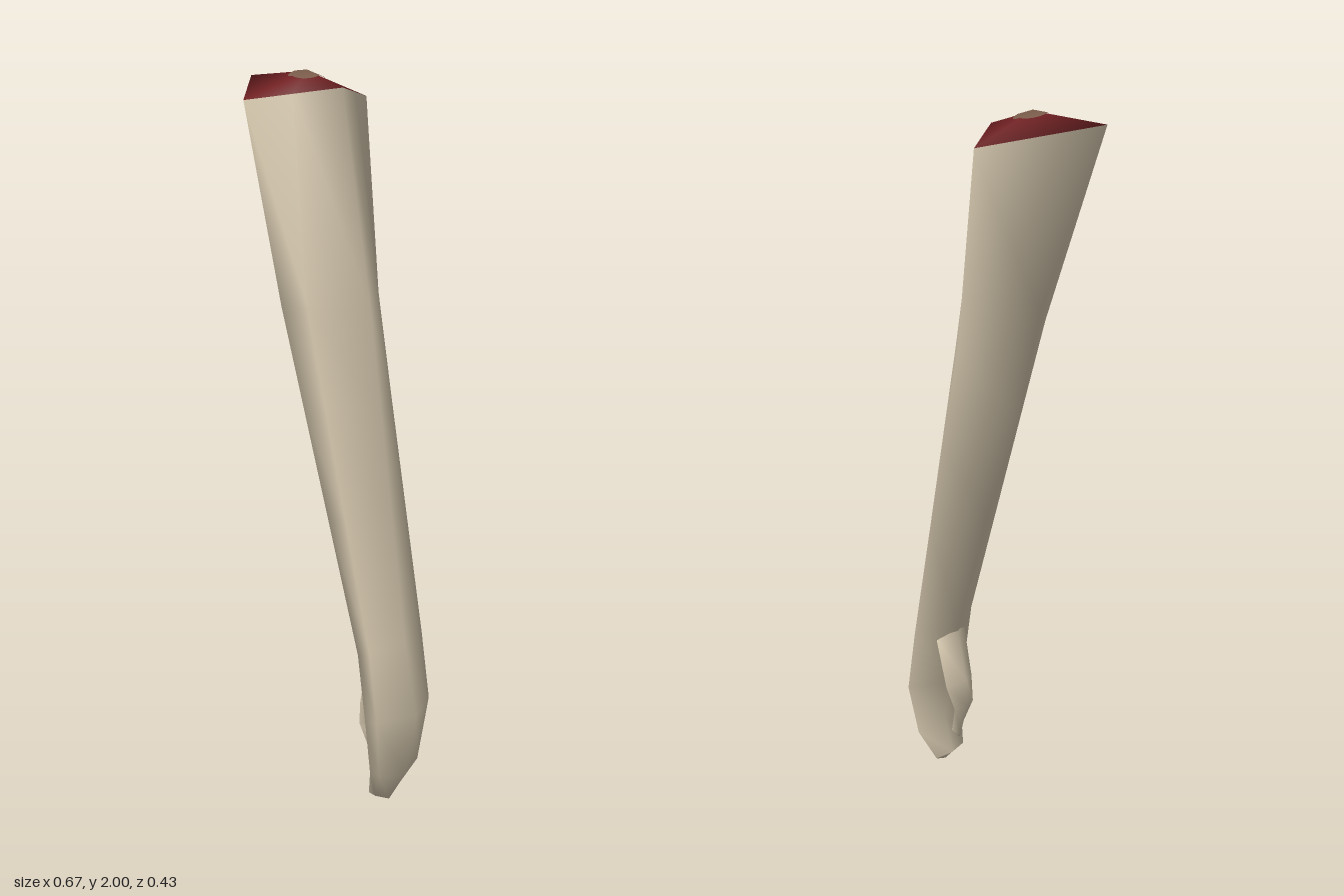
import * as THREE from 'three';

const skin = new THREE.MeshStandardMaterial({ color: 0xd8cab0 });
skin.name = 'pale skin';
const flesh = new THREE.MeshStandardMaterial({ color: 0x7a2426 });
flesh.name = 'dark red flesh';
const bone = new THREE.MeshStandardMaterial({ color: 0x7a5c4a });
bone.name = 'brown bone';

// Joins cross-sections from top to bottom; the top cap forms the second group.
function loft(rings, top, bottom) {
  const n = rings[0].length;
  const points = [...rings.flat(), top, bottom];
  const topId = points.length - 2, bottomId = points.length - 1;
  const side = [], cap = [];
  for (let r = 0; r < rings.length - 1; r++) {
    for (let i = 0; i < n; i++) {
      const j = (i + 1) % n;
      const a = r * n + i, b = r * n + j, c = a + n, d = b + n;
      side.push(a, c, d, a, d, b);
    }
  }
  const last = (rings.length - 1) * n;
  for (let i = 0; i < n; i++) {
    const j = (i + 1) % n;
    side.push(bottomId, last + j, last + i);
    cap.push(topId, i, j);
  }
  const g = new THREE.BufferGeometry();
  g.setAttribute('position', new THREE.Float32BufferAttribute(points.flat(), 3));
  g.setIndex([...side, ...cap]);
  g.addGroup(0, side.length, 0);
  g.addGroup(side.length, cap.length, 1);
  g.computeVertexNormals();
  return g;
}

const mix = (a, b, t) => a.map((v, i) => v + (b[i] - v) * t);

function makeArm() {
  // Each ring runs: inner, front, outer front, outer, outer back, back
  const shoulder = [[-0.335, 1.985, 0], [-0.1, 1.93, 0.215], [-0.03, 1.945, 0.108],
    [0.04, 1.96, 0], [-0.03, 1.945, -0.108], [-0.1, 1.93, -0.215]];
  const upper = [[-0.13, 1.49, 0], [0.01, 1.41, 0.187], [0.06, 1.41, 0.142],
    [0.15, 1.4, 0], [0.06, 1.39, -0.12], [0.02, 1.39, -0.155]];
  const wrist = [[0.18, 0.47, 0], [0.24, 0.48, 0.122], [0.26, 0.48, 0.098],
    [0.297, 0.5, 0], [0.26, 0.48, -0.098], [0.24, 0.48, -0.122]];
  const elbow = upper.map((p, i) => mix(p, wrist[i], 0.3));
  elbow[0] = [-0.06, 1.18, 0];
  const forearm = upper.map((p, i) => mix(p, wrist[i], 0.6));
  forearm[0] = [0.06, 0.87, 0];
  const palm = [[0.21, 0.28, 0], [0.272, 0.29, 0.123], [0.292, 0.29, 0.1],
    [0.335, 0.29, -0.01], [0.292, 0.29, -0.1], [0.272, 0.29, -0.123]];
  const fingers = [[0.24, 0.155, 0], [0.262, 0.125, 0.094], [0.278, 0.115, 0.075],
    [0.302, 0.098, 0], [0.278, 0.115, -0.075], [0.262, 0.125, -0.094]];
  const tips = [[0.21, 0.035, 0], [0.222, 0.035, 0.06], [0.232, 0.022, 0.045],
    [0.242, 0, 0], [0.232, 0.022, -0.045], [0.222, 0.035, -0.06]];
  return loft([shoulder, upper, elbow, forearm, wrist, palm, fingers, tips],
    [-0.1, 2, 0], [0.225, 0.02, 0]);
}

function makeThumb() {
  // Rings run: inner, front, outer, back
  const ring = (x0, y0, x1, y1, z) => {
    const x = (x0 + x1) / 2, y = (y0 + y1) / 2;
    return [[x0, y0, 0], [x, y, z], [x1, y1, 0], [x, y, -z]];
  };
  return loft([
    ring(0.182, 0.47, 0.24, 0.42, 0.06),
    ring(0.147, 0.31, 0.21, 0.28, 0.055),
    ring(0.147, 0.22, 0.172, 0.22, 0.04),
    ring(0.175, 0.11, 0.205, 0.15, 0.022),
  ], [0.21, 0.45, 0], [0.18, 0.1, 0]);
}

// Thin plate that follows the four slopes of the cut end
function makeBone() {
  const g = new THREE.CircleGeometry(0.05, 24);
  g.rotateX(-Math.PI / 2);
  const p = g.attributes.position;
  for (let i = 0; i < p.count; i++) {
    const x = p.getX(i), z = p.getZ(i);
    p.setXYZ(i, x - 0.1, 2 - Math.abs(x) * (x > 0 ? 0.286 : 0.064) - Math.abs(z) * 0.326 + 0.003, z);
  }
  g.computeVertexNormals();
  return g;
}

export function createModel() {
  const group = new THREE.Group();
  group.name = 'severedArm';
  const add = (name, geometry, material) => {
    const mesh = new THREE.Mesh(geometry, material);
    mesh.name = name;
    group.add(mesh);
  };
  add('armAndHand', makeArm(), [skin, flesh]);
  add('thumb', makeThumb(), [skin, skin]);
  add('boneEnd', makeBone(), bone);
  return group;
}
